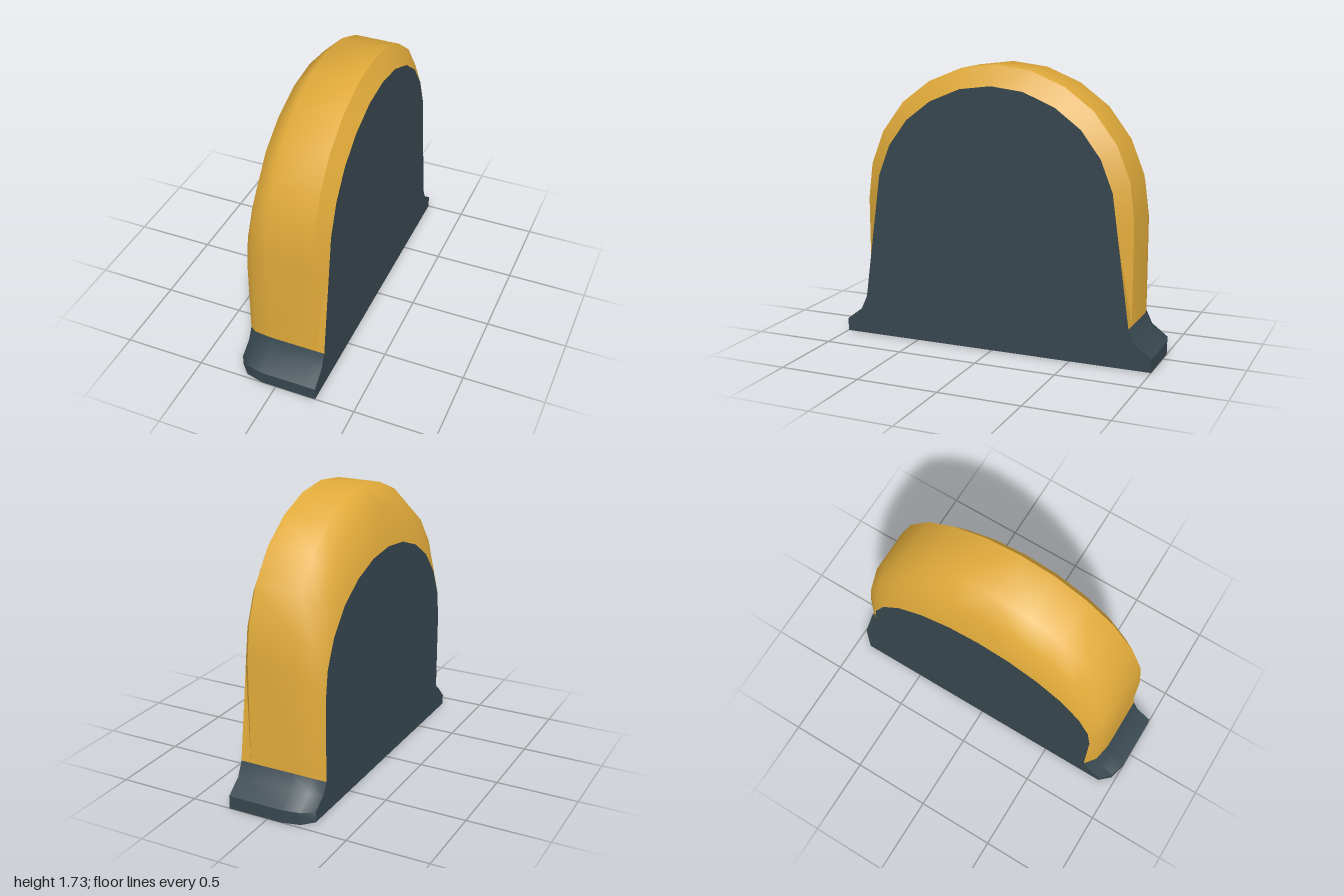
import * as THREE from 'three';
import { toCreasedNormals } from 'three/addons/utils/BufferGeometryUtils.js';

// Half outlines as [z, y], from the ground up to the crown
const foot = [[1, 0], [1, 0.08], [0.9, 0.157], [0.86, 0.243]];
const outer = [...foot, [0.86, 0.87], [0.832, 1.09], [0.75, 1.295], [0.61, 1.48], [0.43, 1.613], [0.22, 1.698], [0, 1.725]];
const inner = [...foot, [0.782, 0.8], [0.75, 1.03], [0.675, 1.22], [0.555, 1.38], [0.395, 1.5], [0.2, 1.58], [0, 1.605]];

// Mirror a half outline into a full one at x, with optional shrink
function section(x, half, sz = 1, sy = 1) {
  const loop = [...half, ...half.slice(0, -1).reverse().map(([z, y]) => [-z, y])];
  return loop.map(([z, y]) => new THREE.Vector3(x, y * sy, z * sz));
}

const sections = [
  section(-0.26, outer, 0.907, 0.797),
  section(-0.2, outer, 0.973, 0.938),
  section(-0.09, outer),
  section(0.19, outer),
  section(0.255, inner),
];
const count = sections[0].length;
const crown = (count - 1) / 2;

// Skin between neighbouring sections over a range of outline edges
function skin(from, to) {
  const tris = [];
  for (let s = 0; s < sections.length - 1; s++) {
    for (let i = from; i < to; i++) {
      const k = (i + 1) % count;
      const a = sections[s][i], b = sections[s + 1][i];
      const c = sections[s + 1][k], d = sections[s][k];
      // The diagonals mirror about the crown
      if (i < crown) tris.push(a, b, c, a, c, d);
      else tris.push(a, b, d, b, c, d);
    }
  }
  return tris;
}

// Flat end face as a fan from the middle of the ground edge
function cap(loop, flip) {
  const tris = [];
  const centre = new THREE.Vector3(loop[0].x, 0, 0);
  for (let i = 0; i < count - 1; i++) {
    if (flip) tris.push(centre, loop[i], loop[i + 1]);
    else tris.push(centre, loop[i + 1], loop[i]);
  }
  return tris;
}

function part(name, tris, material) {
  const geometry = new THREE.BufferGeometry().setFromPoints(tris);
  const mesh = new THREE.Mesh(toCreasedNormals(geometry, THREE.MathUtils.degToRad(48)), material);
  mesh.name = name;
  return mesh;
}

export function createModel() {
  const gold = new THREE.MeshStandardMaterial({ color: 0xe0aa3a });
  gold.name = 'gold';
  const slate = new THREE.MeshStandardMaterial({ color: 0x37474f });
  slate.name = 'slate';

  const group = new THREE.Group();
  group.name = 'archedHousing';
  const last = count - 1;
  group.add(
    part('archShell', skin(3, last - 3), gold),
    part('frontFoot', skin(0, 3), slate),
    part('backFoot', skin(last - 3, last), slate),
    part('underside', skin(last, last + 1), slate),
    part('leftFace', cap(sections[sections.length - 1], false), slate),
    part('rightFace', cap(sections[0], true), slate),
  );
  return group;
}
